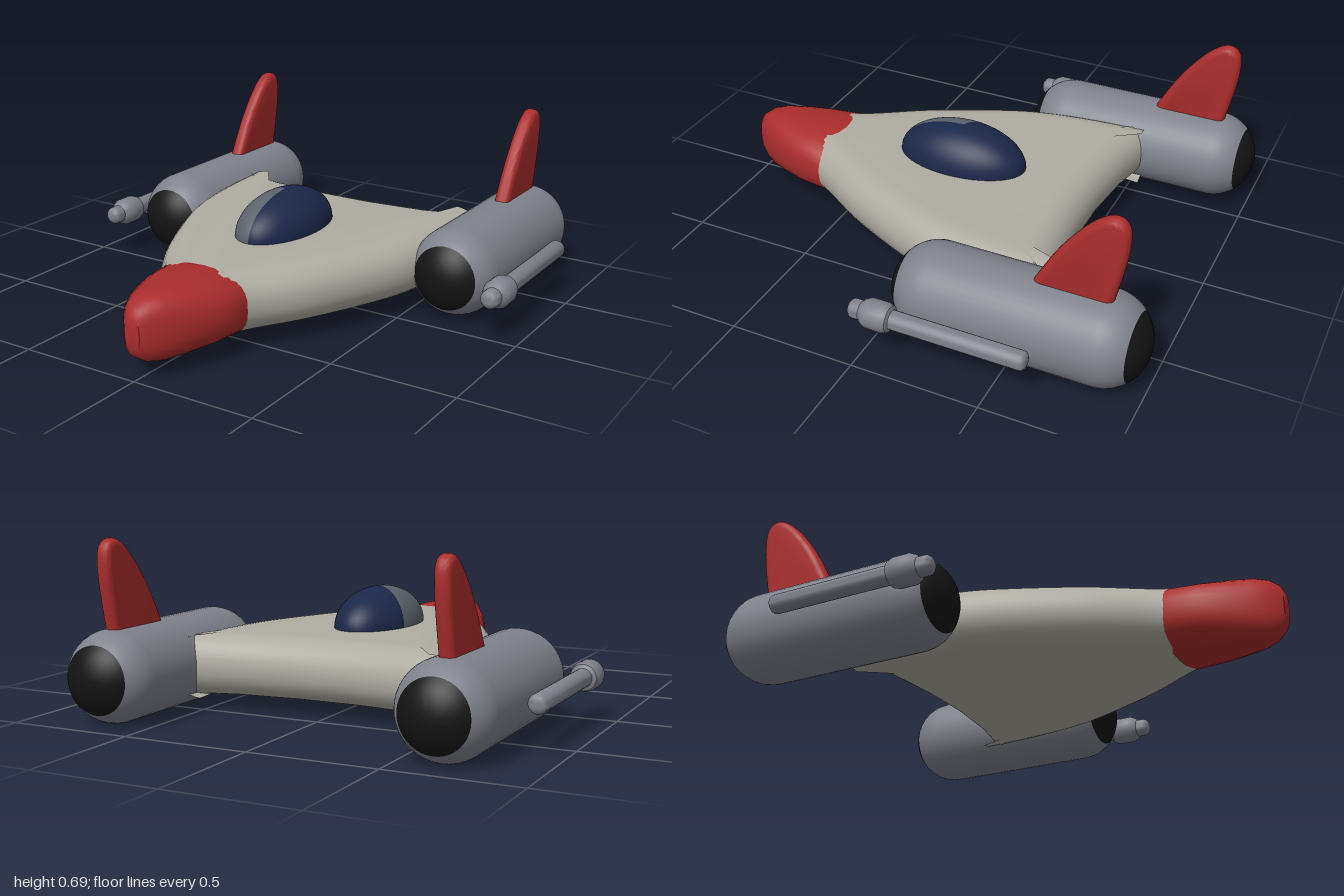
import * as THREE from 'three';
import { toCreasedNormals } from 'three/addons/utils/BufferGeometryUtils.js';

const MID = 0.18; // height of the main centre line
const paint = (color) => new THREE.MeshStandardMaterial({ color });
const hullPaint = paint(0xaeaca2), red = paint(0xab2d2d), metal = paint(0x80828c);
const black = paint(0x141414), blue = paint(0x1c2748), glint = paint(0x5c636b);

function part(name, geometry, material, x = 0, y = 0, z = 0) {
  const mesh = new THREE.Mesh(geometry, material);
  mesh.name = name;
  mesh.position.set(x, y, z);
  return mesh;
}

// Turned shape along z from [radius, z] pairs, listed back to front
function turned(points, segments = 40) {
  const profile = points.map(([r, z]) => new THREE.Vector2(r, z));
  return toCreasedNormals(new THREE.LatheGeometry(profile, segments).rotateX(Math.PI / 2), 0.6);
}

// Quarter-round dome profile between two angles; angle 0 is the rim, 90 the tip
function dome(radius, length, z, from, to, steps = 8) {
  return Array.from({ length: steps + 1 }, (_, i) => {
    const a = THREE.MathUtils.degToRad(from + ((to - from) * i) / steps);
    return [Math.max(0, radius * Math.cos(a)), z + length * Math.sin(a)];
  });
}

// Flat wedge hull with a rounded rim and a hollowed rear edge
function hullGeometry() {
  const side = [[0.16, 0.72], [0.22, 0.58], [0.35, 0.37], [0.47, 0.12], [0.54, -0.07], [0.58, -0.3], [0.6, -0.585]];
  const v = ([x, z], s) => new THREE.Vector2(x * s, z);
  const shape = new THREE.Shape();
  shape.moveTo(-0.16, 0.72);
  shape.lineTo(0.16, 0.72);
  shape.splineThru(side.slice(1).map((p) => v(p, 1)));
  shape.quadraticCurveTo(0, -0.435, -0.6, -0.585);
  shape.splineThru(side.slice(0, -1).reverse().map((p) => v(p, -1)));
  const rim = 0.115;
  const geometry = new THREE.ExtrudeGeometry(shape, {
    depth: 0.245 - 2 * rim, bevelThickness: rim, bevelSize: 0.12, bevelOffset: -0.12,
    bevelSegments: 8, curveSegments: 5,
  });
  geometry.rotateX(Math.PI / 2).translate(0, 0.305 - rim, 0);
  return toCreasedNormals(geometry, 0.7);
}

// Nose lofted through squared-off oval sections: [z, half width, half height]
function noseGeometry() {
  const sections = [[0.575, 0, 0], [0.575, 0.203, 0.124], [0.6, 0.21, 0.13], [0.72, 0.19, 0.13],
    [0.82, 0.152, 0.13], [0.9, 0.112, 0.128], [0.95, 0.08, 0.115], [0.985, 0.05, 0.09],
    [1, 0.033, 0.06], [1, 0, 0]];
  const n = 32, positions = [], index = [];
  const squared = (c) => Math.sign(c) * Math.abs(c) ** 0.78;
  sections.forEach(([z, w, h], row) => {
    for (let i = 0; i < n; i++) {
      const a = (i / n) * Math.PI * 2;
      positions.push(w * squared(Math.cos(a)), MID + h * squared(Math.sin(a)), z);
      if (row === 0) continue;
      const b = row * n + i, c = row * n + ((i + 1) % n);
      index.push(b - n, c - n, c, b - n, c, b);
    }
  });
  const geometry = new THREE.BufferGeometry();
  geometry.setAttribute('position', new THREE.Float32BufferAttribute(positions, 3));
  geometry.setIndex(index);
  return toCreasedNormals(geometry, 0.6);
}

// Swept-back fin with a rounded edge
function finGeometry() {
  const shape = new THREE.Shape();
  shape.moveTo(0.84, 0.28);
  shape.lineTo(0.53, 0.28);
  shape.splineThru([[0.565, 0.36], [0.65, 0.51], [0.74, 0.625], [0.81, 0.682], [0.86, 0.688],
    [0.893, 0.65], [0.895, 0.56], [0.875, 0.44], [0.84, 0.28]].map(([a, b]) => new THREE.Vector2(a, b)));
  const geometry = new THREE.ExtrudeGeometry(shape, {
    depth: 0.01, bevelThickness: 0.025, bevelSize: 0.025, bevelOffset: -0.025, bevelSegments: 5, curveSegments: 4,
  });
  geometry.translate(0, 0, -0.005).rotateY(Math.PI / 2);
  return toCreasedNormals(geometry, 0.7);
}

// Engine pod with dark ends, fin and outboard gun
function wingPod(side) {
  const pod = new THREE.Group();
  pod.name = side > 0 ? 'leftPod' : 'rightPod';
  const r = 0.177, len = 0.17, back = -0.83, front = -0.185, split = 43;
  const rear = (from, to) => dome(r, -len, back, from, to);
  const fore = (from, to) => dome(r, len, front, from, to);
  const x = side * 0.665, gunX = side * 0.9;
  pod.add(
    part('engineShell', turned([...rear(split, 0), ...fore(0, split)]), metal, x, MID),
    part('engineExhaust', turned(rear(90, split)), black, x, MID),
    part('engineIntake', turned(fore(split, 90)), black, x, MID),
    part('fin', finGeometry(), red, x),
    part('gunBarrel', turned([...dome(0.036, -0.02, -0.62, 90, 0, 4), [0.036, -0.1]], 24), metal, gunX, MID),
    part('gunCollar', turned([[0.034, -0.12], [0.05, -0.113], [0.057, -0.09], [0.057, -0.03],
      [0.048, -0.01], [0.034, 0.005]], 24), metal, gunX, MID),
    part('gunMuzzle', turned([[0.037, -0.01], ...dome(0.037, 0.025, 0.03, 0, 90, 5)], 24), metal, gunX, MID),
  );
  return pod;
}

// Half-sunk canopy bubble, split into dark glass and a pale pane
function canopyPane(name, material, start, length) {
  const geometry = new THREE.SphereGeometry(1, 32, 20, start, length, 0, Math.PI * 0.55);
  return part(name, geometry.scale(0.153, 0.152, 0.27), material, 0, 0.305, 0.035);
}

export function createModel() {
  const model = new THREE.Group();
  model.name = 'spaceship';
  const paneStart = -0.3, paneLength = Math.PI / 2 + 0.35;
  model.add(
    part('hull', hullGeometry(), hullPaint),
    part('nose', noseGeometry(), red),
    canopyPane('canopyPalePane', glint, paneStart, paneLength),
    canopyPane('canopyGlass', blue, paneStart + paneLength, Math.PI * 2 - paneLength),
    wingPod(1),
    wingPod(-1),
  );
  return model;
}
